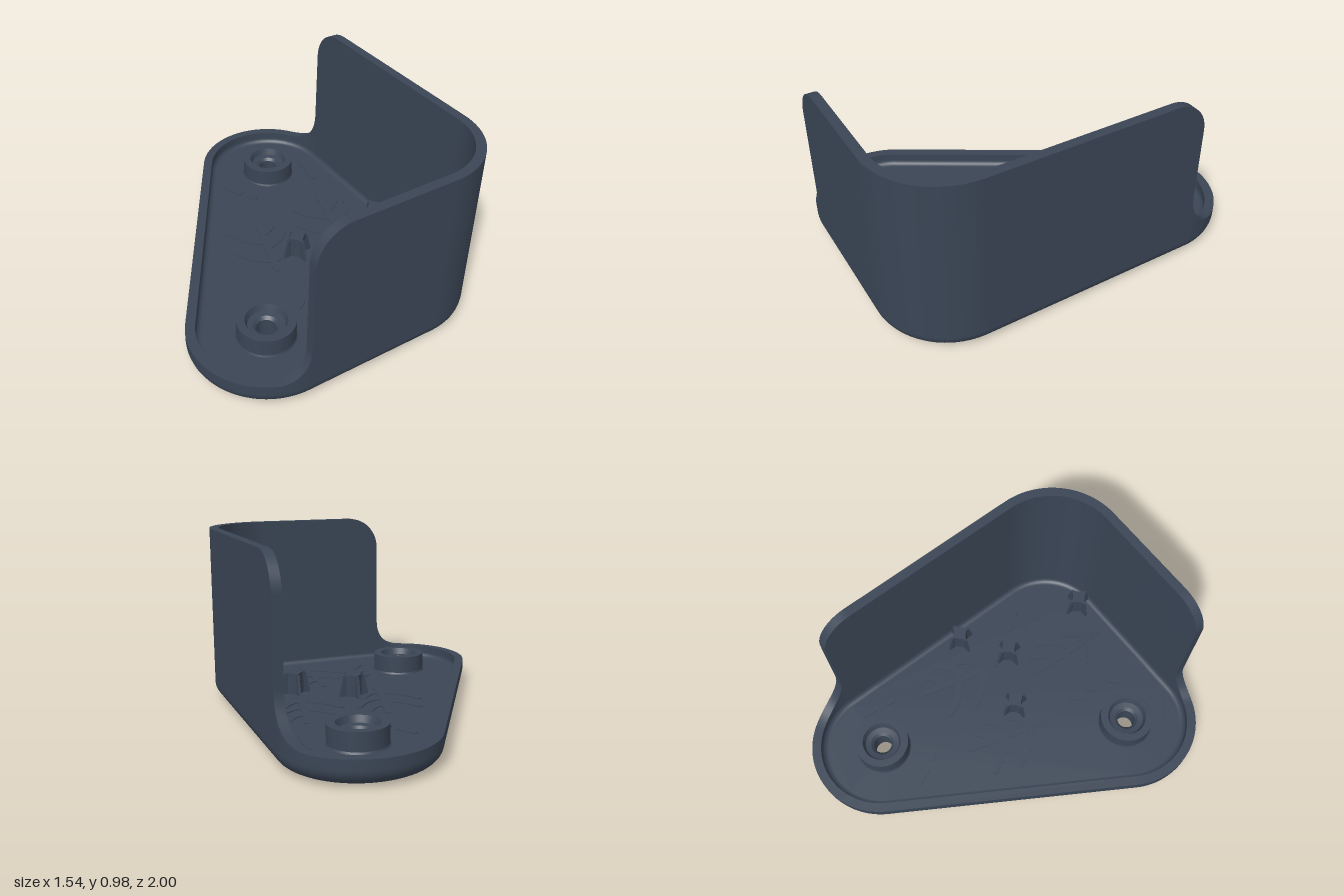
import * as THREE from 'three';

const R = 0.4, RIM = 0.14, TOP = 0.98, FLOOR = 0.07, BASE = 0.009;
const A = [0.369, -0.6], B = [-0.37, 0.6], C = [0.369, 0.6]; // corner centres (x, z)
const DEG = Math.PI / 180;

// Walk round the outline: corner centre, direction of the outward normal, wall height
function outline() {
  const s = [];
  const put = (x, z, t, h) => s.push({ x, z, t, h });
  const arc = (c, t0, t1, h, n) => {
    for (let i = 0; i <= n; i++) put(c[0], c[1], t0 + (t1 - t0) * i / n, h);
  };
  const N = 14, q = Math.PI / 2, rf = 0.16, rr = 0.24, rt = 0.185;
  const hyp = Math.PI + Math.atan2(A[0] - B[0], B[1] - A[1]);
  arc(B, hyp, Math.acos(-rf / R) + 0.01, RIM, 28);
  for (let i = N; i >= 0; i--) { // sweep from the rim up to the front wall
    const p = q * i / N;
    put(B[0], B[1], Math.acos(-rf * (1 - Math.cos(p)) / R), RIM + rf * (1 - Math.sin(p)));
  }
  for (let i = 0; i <= N; i++) { // rounded upper corner of the front wall
    const p = q * i / N;
    put(B[0] + rt * (1 - Math.cos(p)), B[1], q, TOP - rt * (1 - Math.sin(p)));
  }
  arc(C, q, 0, TOP, 28);
  for (let i = N; i >= 0; i--) { // rounded upper corner of the side wall
    const p = q * i / N;
    put(A[0], A[1] + rt * (1 - Math.cos(p)), 0, TOP - rt * (1 - Math.sin(p)));
  }
  for (let i = 0; i <= N; i++) { // sweep from the side wall down to the rim
    const p = q * i / N;
    put(A[0], A[1], -Math.asin(rr * (1 - Math.cos(p)) / R), RIM + rr * (1 - Math.sin(p)));
  }
  arc(A, -Math.asin(rr / R) - 0.01, hyp - 2 * Math.PI, RIM, 28);
  return s;
}

const inset = (s, d) => [s.x + (R - d) * Math.cos(s.t), s.z + (R - d) * Math.sin(s.t)];

// Closed band: profile(h) gives [inset, y] pairs at each outline sample
function band(samples, profile) {
  const pos = [], idx = [], n = samples.length;
  const m = profile(1).length;
  for (const s of samples) {
    for (const [d, y] of profile(s.h)) {
      const [x, z] = inset(s, d);
      pos.push(x, y, z);
    }
  }
  for (let i = 0; i < n; i++) {
    for (let j = 0; j < m - 1; j++) {
      const a = i * m + j, b = ((i + 1) % n) * m + j;
      idx.push(a, b, b + 1, a, b + 1, a + 1);
    }
  }
  const g = new THREE.BufferGeometry();
  g.setAttribute('position', new THREE.Float32BufferAttribute(pos, 3));
  g.setIndex(idx);
  g.computeVertexNormals();
  return g;
}

// Flat plate with the two screw holes, facing up (+1) or down (-1)
function plate(samples, d, y, up) {
  const shape = new THREE.Shape(samples.map(s => {
    const [x, z] = inset(s, d);
    return new THREE.Vector2(x, -up * z);
  }));
  for (const c of [A, B]) {
    const hole = new THREE.Path();
    hole.absarc(c[0], -up * c[1], 0.05, 0, Math.PI * 2);
    shape.holes.push(hole);
  }
  return new THREE.ShapeGeometry(shape, 16).rotateX(-up * Math.PI / 2).translate(0, y, 0);
}

// Thin ribbon along a curve through [x, z] points, narrowing towards its tip
function ribbon(points, width) {
  const curve = new THREE.QuadraticBezierCurve(...points.map(p => new THREE.Vector2(...p)));
  const left = [], right = [], n = 8;
  for (let i = 0; i <= n; i++) {
    const p = curve.getPoint(i / n), t = curve.getTangent(i / n);
    const w = width / 2 * (1 - 0.25 * (i / n) ** 2);
    left.push(new THREE.Vector2(p.x - t.y * w, p.y + t.x * w));
    right.unshift(new THREE.Vector2(p.x + t.y * w, p.y - t.x * w));
  }
  const g = new THREE.ExtrudeGeometry(new THREE.Shape([...left, ...right]), { depth: 0.0095, bevelEnabled: false });
  return g.rotateX(Math.PI / 2).translate(0, 0.0095, 0);
}

export function createModel() {
  const model = new THREE.Group();
  const slate = new THREE.MeshStandardMaterial({ color: 0x3a4555 });
  slate.name = 'slate';
  const green = new THREE.MeshStandardMaterial({ color: 0x58b392 });
  green.name = 'green';
  const add = (parent, name, geometry, material) => {
    const mesh = new THREE.Mesh(geometry, material);
    mesh.name = name;
    parent.add(mesh);
    return mesh;
  };
  const group = name => {
    const g = new THREE.Group();
    g.name = name;
    model.add(g);
    return g;
  };

  // Tray shell with rounded underside and two tall walls
  const samples = outline();
  const shell = group('trayShell');
  const quarter = Array.from({ length: 9 }, (_, i) => i * 90 / 8 * DEG);
  add(shell, 'outerWall', band(samples, h => [
    ...quarter.map(p => [0.08 * (1 - Math.sin(p)), BASE + 0.08 * (1 - Math.cos(p))]), [0, h],
  ]), slate);
  add(shell, 'rim', band(samples, h => [[0, h], [0.05, h]]), slate);
  add(shell, 'innerWall', band(samples, h => [
    [0.05, h], ...quarter.map(p => [0.08 - 0.03 * Math.cos(p), FLOOR + 0.03 * (1 - Math.sin(p))]),
  ]), slate);
  add(shell, 'floor', plate(samples, 0.08, FLOOR, 1), slate);
  add(shell, 'underside', plate(samples, 0.08, BASE, -1), slate);

  // Screw bosses with stepped recess and through hole
  const bossProfile = [[0.155, FLOOR], [0.15, 0.08], [0.15, 0.175], [0.108, 0.175], [0.095, 0.14],
    [0.065, 0.135], [0.05, 0.12], [0.05, BASE]];
  for (const c of [A, B]) {
    const boss = group('screwBoss');
    boss.position.set(c[0], 0, c[1]);
    for (let i = 0; i < bossProfile.length - 1; i++) {
      // each step is its own ring, so the edges stay sharp
      const pts = [bossProfile[i], bossProfile[i + 1]].map(p => new THREE.Vector2(...p));
      add(boss, 'bossRing', new THREE.LatheGeometry(pts, 40), slate);
    }
  }

  // Star-shaped support posts with four tapered fins
  const star = new THREE.Shape().moveTo(0.057, 0);
  for (let k = 1; k <= 4; k++) {
    const a = k * 90 * DEG, m = a - 45 * DEG;
    star.quadraticCurveTo(0.03 * Math.cos(m), 0.03 * Math.sin(m), 0.057 * Math.cos(a), 0.057 * Math.sin(a));
  }
  const H = 0.12;
  const starGeo = new THREE.ExtrudeGeometry(star, { depth: H, bevelEnabled: false, curveSegments: 6 }).rotateX(-Math.PI / 2);
  const fin = new THREE.Shape([[-0.085, 0], [0.085, 0], [0.06, H - 0.005], [-0.06, H - 0.005]].map(p => new THREE.Vector2(...p)));
  const finGeo = new THREE.ExtrudeGeometry(fin, { depth: 0.016, bevelEnabled: false }).translate(0, 0, -0.008);
  for (const [x, z] of [[0.1, 0.153], [0.633, 0.153], [0.385, 0.328], [0.385, 0.862]]) {
    const post = group('supportPost');
    post.position.set(x, FLOOR, z);
    add(post, 'postCore', starGeo, slate);
    add(post, 'postFins', finGeo, slate);
    add(post, 'postFins', finGeo, slate).rotation.y = Math.PI / 2;
  }

  // Fern fronds: green inlay on the underside, faint slate relief on the floor above it
  const leaflets = [
    [[0, 0.15], [-0.13, 0.12], [-0.21, 0]], [[0, -0.01], [-0.12, -0.04], [-0.19, -0.15]],
    [[0, 0.15], [0.07, 0.13], [0.1, 0.035]], [[0, 0.03], [0.1, 0], [0.14, -0.125]],
    [[0, -0.09], [0.07, -0.11], [0.09, -0.2]],
  ];
  const stemGeo = ribbon([[0, 0.24], [-0.015, 0], [0, -0.24]], 0.04);
  const leafletGeos = leaflets.map(l => ribbon(l, 0.04));
  const layers = [['Inlay', 0, 1, green], ['Relief', FLOOR, 0.5, slate]];
  for (const [label, y, thickness, material] of layers) {
    for (const [x, z, lean] of [[0.445, 0, -0.22], [-0.005, 0, -0.27], [0.19, 0.615, -0.03]]) {
      const frond = group('frond' + label);
      frond.position.set(x, y, z);
      frond.rotation.y = lean;
      frond.scale.y = thickness;
      add(frond, 'stem', stemGeo, material);
      for (const g of leafletGeos) add(frond, 'leaflet', g, material);
    }
  }

  // Loose leaf slivers
  const slivers = [
    [0.574, -0.385, 0.6, -0.59], [0.17, -0.4, 0.13, -0.44], [0.11, -0.48, 0.06, -0.58],
    [0.46, 0.61, 0.55, 0.75], [0.456, 0.51, 0.606, 0.653], [0.51, 0.42, 0.59, 0.54],
    [-0.097, 0.676, -0.177, 0.76], [-0.07, 0.55, -0.13, 0.616], [-0.056, 0.446, -0.135, 0.53],
  ];
  for (const [label, y, thickness, material] of layers) {
    const loose = group('leafSlivers' + label);
    loose.position.y = y;
    loose.scale.y = thickness;
    for (const [x0, z0, x1, z1] of slivers) {
      const mid = [(x0 + x1) / 2 + 0.01, (z0 + z1) / 2 + 0.01];
      add(loose, 'leafSliver', ribbon([[x0, z0], mid, [x1, z1]], 0.038), material);
    }
  }
  return model;
}
